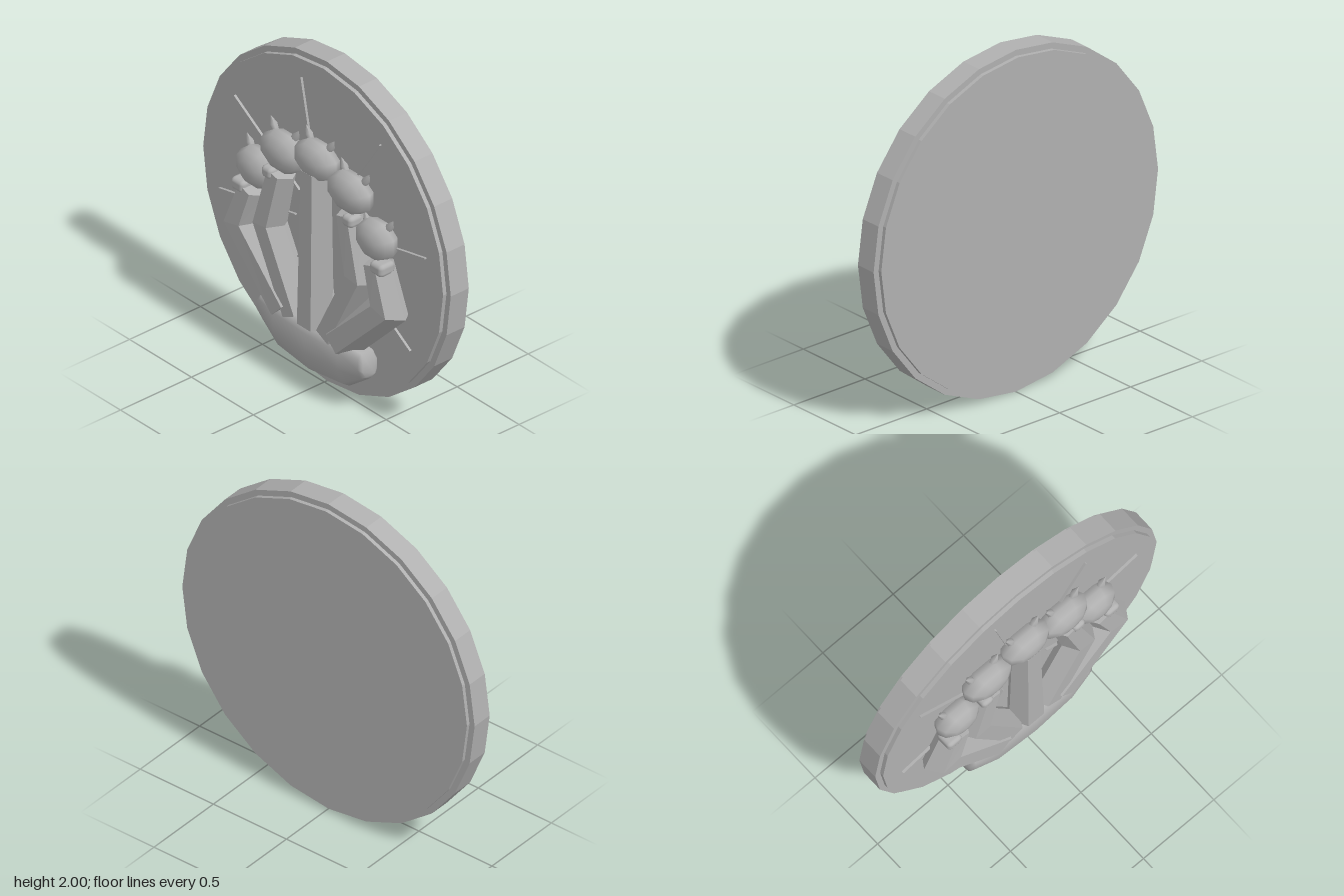
import * as THREE from 'three';
import { RoundedBoxGeometry } from 'three/addons/geometries/RoundedBoxGeometry.js';

const stone = new THREE.MeshStandardMaterial({ color: 0xb0b0b0 });
stone.name = 'stone grey';

// Closed skin over a row of rings, each running counterclockwise about the direction of travel
function loft(rings, flat) {
  const n = rings[0].length, last = (rings.length - 1) * n, index = [];
  for (let r = 0; r < rings.length - 1; r++) {
    for (let i = 0; i < n; i++) {
      const a = r * n + i, b = r * n + (i + 1) % n;
      index.push(a, b, b + n, a, b + n, a + n);
    }
  }
  for (let i = 1; i < n - 1; i++) {
    index.push(0, i + 1, i, last, last + i, last + i + 1);
  }
  let g = new THREE.BufferGeometry();
  g.setAttribute('position', new THREE.Float32BufferAttribute(rings.flat(2), 3));
  g.setIndex(index);
  if (flat) g = g.toNonIndexed();
  g.computeVertexNormals();
  return g;
}

// Six-sided finger along a path of [x, y, radius], mitred at the knuckle
function fingerGeometry(path) {
  const z = 0.05;
  const dir = (a, b) => new THREE.Vector2(b[0] - a[0], b[1] - a[1]).normalize();
  const rings = path.map((p, k) => {
    const before = dir(path[Math.max(k - 1, 0)], path[Math.max(k, 1)]);
    const after = k < path.length - 1 ? dir(p, path[k + 1]) : before;
    const t = before.clone().add(after).normalize();
    const stretch = 1 / t.dot(before);
    return Array.from({ length: 6 }, (_, i) => {
      const c = Math.cos(i * Math.PI / 3) * p[2] * stretch;
      const s = Math.sin(i * Math.PI / 3) * p[2];
      return [p[0] - t.y * c, p[1] + t.x * c, z + s];
    });
  });
  return loft(rings, true);
}

// Rounded heel of the hand, lofted from left to right
function palmGeometry() {
  const ring = [[0, -1], [0.6, -0.75], [1, -0.05], [0.95, 0.7], [0.6, 1],
    [-0.6, 1], [-0.95, 0.7], [-1, -0.05], [-0.6, -0.75]].reverse();
  const sections = [[-0.43, 0.25, 0.37, 0.055], [-0.4, 0.225, 0.4, 0.065], [-0.26, 0.12, 0.41, 0.088],
    [0, 0.085, 0.41, 0.095], [0.26, 0.12, 0.41, 0.088], [0.4, 0.225, 0.4, 0.065], [0.43, 0.25, 0.37, 0.055]];
  return loft(sections.map(([x, lo, hi, d]) =>
    ring.map(([z, y]) => [x, (lo + hi) / 2 + y * (hi - lo) / 2, 0.05 + z * d])), false);
}

export function createModel() {
  const model = new THREE.Group();
  model.name = 'medallion';
  const add = (name, geometry, parent = model) => {
    const mesh = new THREE.Mesh(geometry, stone);
    mesh.name = name;
    parent.add(mesh);
    return mesh;
  };

  // Stepped disc with 24 sides
  const disc = (name, radius, back, front) => {
    const g = new THREE.CylinderGeometry(radius, radius, front - back, 24).toNonIndexed();
    g.rotateX(Math.PI / 2);
    g.translate(0, 1, (back + front) / 2);
    g.computeVertexNormals();
    add(name, g);
  };
  disc('rim', 1, -0.146, -0.019);
  disc('plate', 0.965, -0.168, 0.005);

  // Thin rays raised on the plate
  for (let i = 0; i < 8; i++) {
    const a = THREE.MathUtils.degToRad(11.7 + 45 * i);
    const ray = add('ray', new THREE.BoxGeometry(0.63, 0.007, 0.02));
    ray.position.set(Math.cos(a) * 0.535, 1 + Math.sin(a) * 0.535, 0.01);
    ray.rotation.z = a;
  }

  add('palm', palmGeometry());

  // Fingers
  add('middleFinger', fingerGeometry([[0, 0.4, 0.11], [0, 1.36, 0.09]]));
  const paths = {
    innerFinger: [[0.135, 0.4, 0.1], [0.37, 0.865, 0.1], [0.28, 1.22, 0.085]],
    outerFinger: [[0.22, 0.4, 0.113], [0.593, 0.77, 0.105], [0.505, 1.02, 0.09]],
  };
  for (const side of [-1, 1]) {
    for (const [name, path] of Object.entries(paths)) {
      add(name, fingerGeometry(path.map(([x, y, r]) => [x * side, y, r])));
    }
  }

  // Faceted round heads with a pair of pointed horns
  const headGeometry = new THREE.SphereGeometry(1, 8, 6);
  headGeometry.rotateX(Math.PI / 2);
  headGeometry.rotateZ(Math.PI / 8);
  const hornGeometry = new THREE.LatheGeometry([
    new THREE.Vector2(0.016, 0), new THREE.Vector2(0.023, 0.06), new THREE.Vector2(0, 0.11),
  ], 6);
  const head = (x, y, w, h, horns) => {
    const group = new THREE.Group();
    group.name = 'fingertip';
    group.position.set(x, y, 0.05);
    model.add(group);
    add('head', headGeometry, group).scale.set(w, h, 0.09);
    for (const [tx, ty] of horns) {
      const horn = add('horn', hornGeometry, group);
      const d = new THREE.Vector3(Math.sign(tx) * 0.5, 0.87, 0);
      horn.position.set(tx, ty, -0.02).addScaledVector(d, -0.11);
      horn.quaternion.setFromUnitVectors(new THREE.Vector3(0, 1, 0), d.normalize());
    }
  };
  head(0, 1.415, 0.165, 0.117, [[-0.115, 0.16], [0.115, 0.16]]);
  for (const s of [-1, 1]) {
    head(0.27 * s, 1.34, 0.168, 0.122, [[0.13 * s, 0.16], [-0.1 * s, 0.165]]);
    head(0.482 * s, 1.145, 0.146, 0.122, [[0.11 * s, 0.155], [-0.13 * s, 0.115]]);

    // Small rounded knobs under the heads
    add('outerKnob', new RoundedBoxGeometry(0.1, 0.075, 0.11, 2, 0.025)).position.set(0.56 * s, 1.02, 0.08);
    add('innerKnob', new RoundedBoxGeometry(0.08, 0.07, 0.11, 2, 0.025)).position.set(0.325 * s, 1.21, 0.08);
  }
  return model;
}
